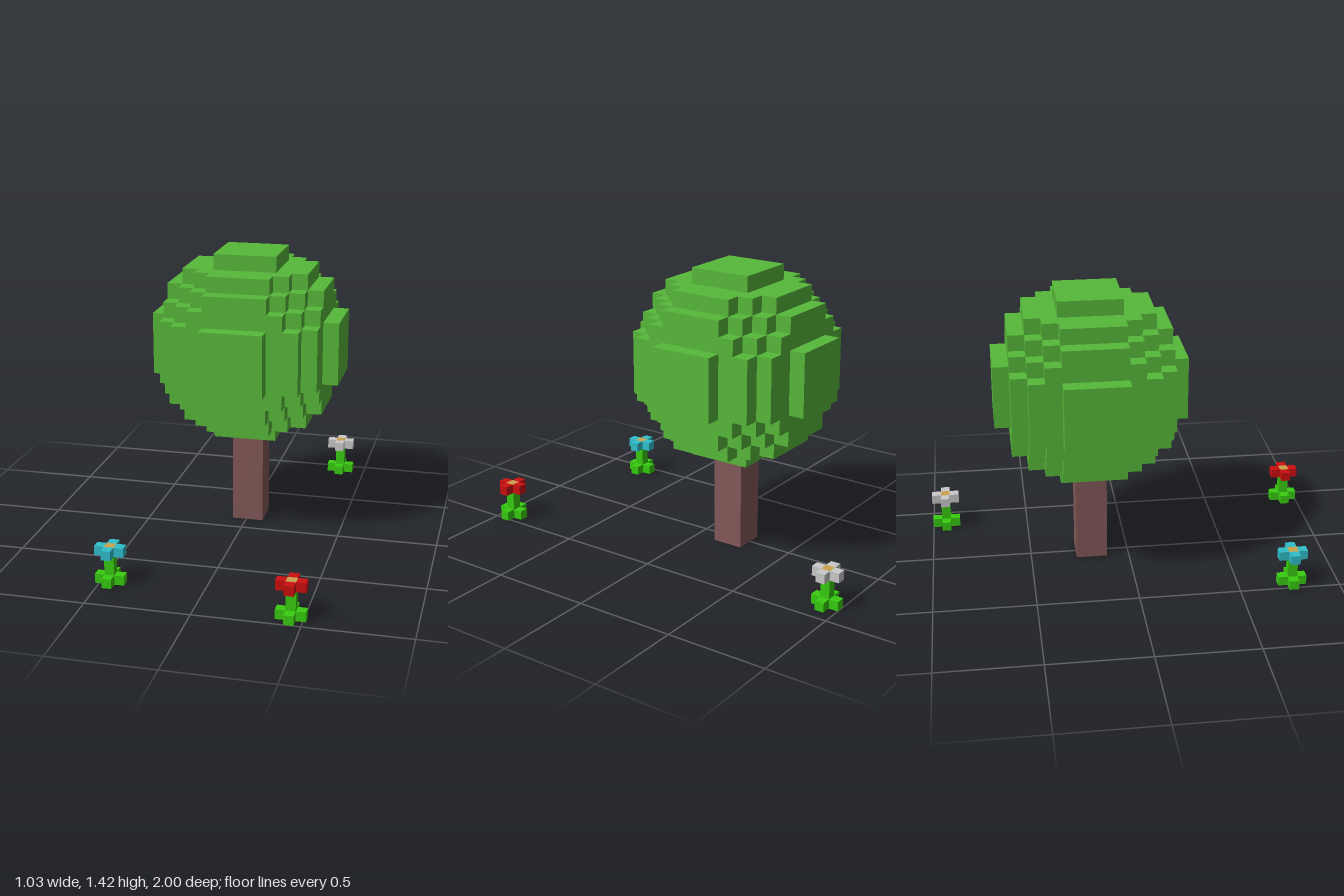
import * as THREE from 'three';

const paint = (name, color) => Object.assign(new THREE.MeshStandardMaterial({ color }), { name });

// Mesh of the outer faces of every grid cell whose kind matches.
// kindAt(i, j, k) returns a kind, or undefined for empty space.
function voxelMesh(name, material, kindAt, kind, grid, size) {
  const positions = [], normals = [];
  const [nx, ny, nz] = grid;
  for (let i = 0; i < nx; i++) for (let j = 0; j < ny; j++) for (let k = 0; k < nz; k++) {
    if (kindAt(i, j, k) !== kind) continue;
    const centre = [i + 0.5 - nx / 2, j + 0.5, k + 0.5 - nz / 2];
    for (let axis = 0; axis < 3; axis++) for (const side of [-1, 1]) {
      const n = [0, 0, 0];
      n[axis] = side;
      if (kindAt(i + n[0], j + n[1], k + n[2]) !== undefined) continue;
      const u = (axis + 1) % 3, v = (axis + 2) % 3;
      const corner = (a, b) => {
        const p = centre.map((c, d) => c + n[d] / 2);
        p[u] += a * side / 2;
        p[v] += b / 2;
        return p.map((c) => c * size);
      };
      const quad = [corner(-1, -1), corner(1, -1), corner(1, 1), corner(-1, 1)];
      for (const q of [0, 1, 2, 0, 2, 3]) {
        positions.push(...quad[q]);
        normals.push(...n);
      }
    }
  }
  const geometry = new THREE.BufferGeometry();
  geometry.setAttribute('position', new THREE.Float32BufferAttribute(positions, 3));
  geometry.setAttribute('normal', new THREE.Float32BufferAttribute(normals, 3));
  const mesh = new THREE.Mesh(geometry, material);
  mesh.name = name;
  return mesh;
}

// Blocky ball, twelve cells across
const ballCell = (i, j, k) =>
  (i - 5.5) ** 2 + (j - 5.5) ** 2 + (k - 5.5) ** 2 < 36 ? 'leaf' : undefined;

// Flower: cross-shaped base, stem, and cross of petals round a centre
function flowerCell(i, j, k) {
  if (j < 0 || j > 3) return undefined;
  const reach = Math.abs(i - 1) + Math.abs(k - 1);
  if (j === 3) return reach === 0 ? 'centre' : reach === 1 ? 'petal' : undefined;
  return reach === 0 || (j === 0 && reach === 1) ? 'stem' : undefined;
}

export function createModel() {
  const model = new THREE.Group();
  model.name = 'treeWithFlowers';

  const leafGreen = paint('leafGreen', 0x57b93a);
  const barkBrown = paint('barkBrown', 0x835858);
  const stemGreen = paint('stemGreen', 0x38cc10);
  const centreYellow = paint('centreYellow', 0xcaa34c);

  // Tree
  const cell = 0.0785, crownBase = 0.474;
  const tree = new THREE.Group();
  tree.name = 'tree';
  tree.position.set(0.008, 0, -0.19);
  const trunk = new THREE.Mesh(new THREE.BoxGeometry(2 * cell, crownBase, 2 * cell), barkBrown);
  trunk.name = 'trunk';
  trunk.position.y = crownBase / 2;
  const crown = voxelMesh('crown', leafGreen, ballCell, 'leaf', [12, 12, 12], cell);
  crown.position.y = crownBase;
  tree.add(trunk, crown);
  model.add(tree);

  // Flowers
  const flowers = [
    ['blueFlower', paint('petalBlue', 0x30bfcb), -0.448, 0.766],
    ['redFlower', paint('petalRed', 0xcc0f0f), 0.444, 0.93],
    ['whiteFlower', paint('petalWhite', 0xc9c9c9), 0.368, -0.93],
  ];
  for (const [name, petalPaint, x, z] of flowers) {
    const flower = new THREE.Group();
    flower.name = name;
    flower.position.set(x, 0, z);
    const part = (label, material, kind) =>
      flower.add(voxelMesh(label, material, flowerCell, kind, [3, 4, 3], 0.047));
    part('stem', stemGreen, 'stem');
    part('petals', petalPaint, 'petal');
    part('flowerCentre', centreYellow, 'centre');
    model.add(flower);
  }
  return model;
}
